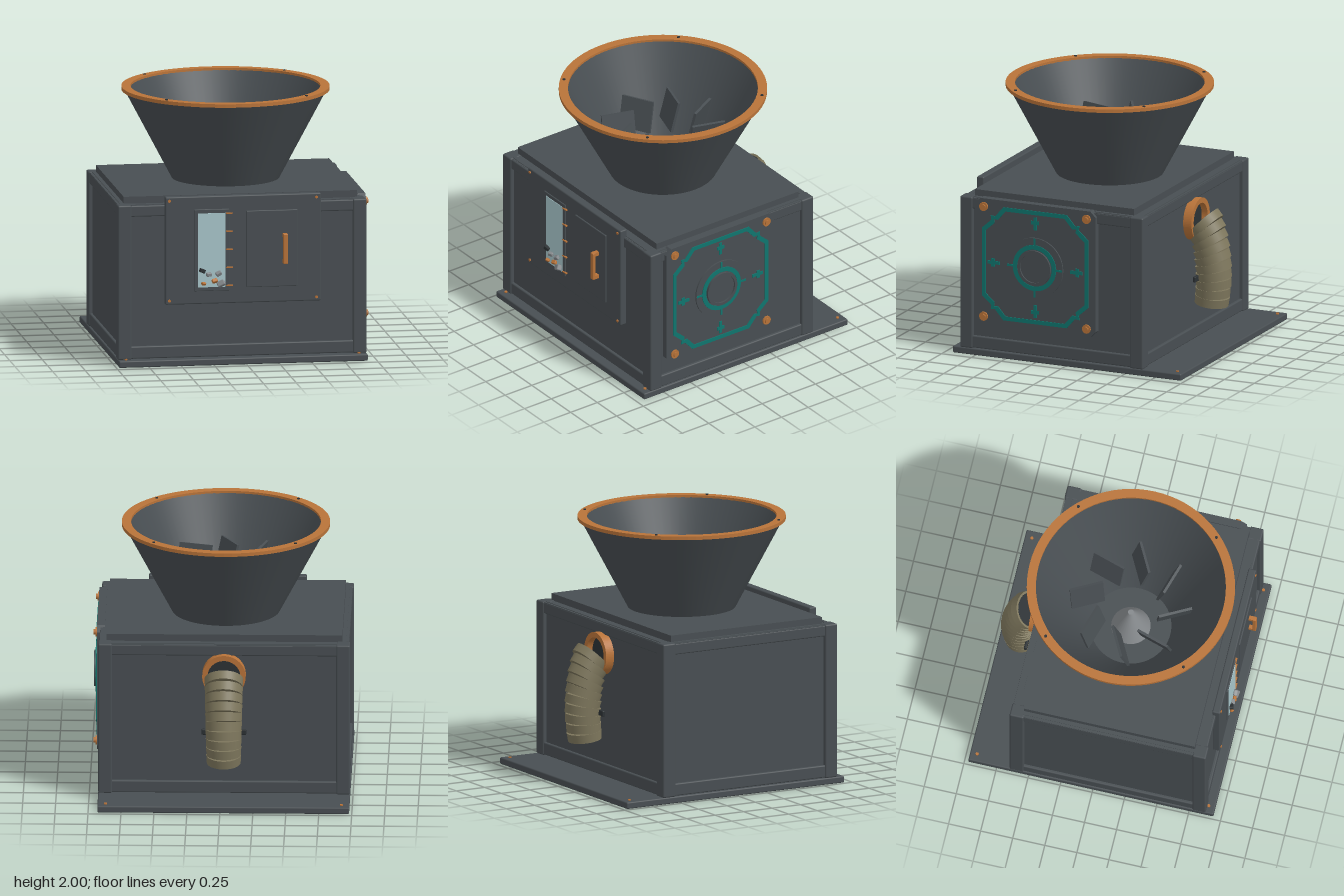
import * as THREE from 'three';
import { RoundedBoxGeometry } from 'three/addons/geometries/RoundedBoxGeometry.js';

const mat = (name, color) => Object.assign(new THREE.MeshStandardMaterial({ color }), { name });
const CX = -0.025; // middle of the cabinet in x
const HZ = 0.07;   // hopper axis in z

export function createModel() {
  const hull = mat('dark steel', 0x484e52);
  const copper = mat('copper', 0xb87339);
  const teal = mat('teal', 0x0f766e);
  const glass = mat('pale glass', 0xa8c6cb);
  const hose = mat('khaki hose', 0x7d765c);
  const steel = mat('light steel', 0x85898c);
  const dark = mat('shadow grey', 0x2c3134);

  const model = new THREE.Group();
  model.name = 'hopperMachine';

  const add = (parent, name, geo, m, x = 0, y = 0, z = 0) => {
    const mesh = new THREE.Mesh(geo, m);
    mesh.name = name;
    mesh.position.set(x, y, z);
    parent.add(mesh);
    return mesh;
  };
  // box given by its limits, with an optional rounded edge
  const block = (name, m, [x0, x1], [y0, y1], [z0, z1], r = 0, parent = model) => {
    const s = [x1 - x0, y1 - y0, z1 - z0];
    const geo = r ? new RoundedBoxGeometry(...s, 2, r) : new THREE.BoxGeometry(...s);
    return add(parent, name, geo, m, (x0 + x1) / 2, (y0 + y1) / 2, (z0 + z1) / 2);
  };
  const extrude = (shape, depth) =>
    new THREE.ExtrudeGeometry(shape, { depth, bevelEnabled: false, curveSegments: 40 });
  const polygon = pts => pts.map(p => new THREE.Vector2(...p));
  // flat ring in the xy plane, extruded along z
  const ring = (outer, inner, depth) => {
    const s = new THREE.Shape().absarc(0, 0, outer, 0, Math.PI * 2);
    s.holes.push(new THREE.Path().absarc(0, 0, inner, 0, Math.PI * 2, true));
    return extrude(s, depth);
  };
  const disc = (r, depth, sides = 48) => new THREE.CylinderGeometry(r, r, depth, sides).rotateX(Math.PI / 2);

  // base plate
  block('basePlate', hull, [-0.98, 0.93], [0, 0.052], [-0.97, 0.94], 0.01);
  for (const x of [-0.92, 0.87]) for (const z of [-0.915, 0.89])
    add(model, 'baseBolt', new THREE.CylinderGeometry(0.013, 0.013, 0.01, 6), copper, x, 0.055, z);

  // cabinet: recessed walls, rails and corner posts
  block('frontWall', hull, [-0.94, 0.89], [0.05, 1.24], [0.82, 0.85]);
  block('backWall', hull, [-0.94, 0.89], [0.05, 1.24], [-0.62, -0.59]);
  block('sideWall', hull, [-0.95, -0.92], [0.05, 1.24], [-0.6, 0.84]);
  block('sideWall', hull, [0.87, 0.9], [0.05, 1.24], [-0.6, 0.84]);
  for (const y of [[0.055, 0.15], [1.15, 1.235]]) {
    block('frontRail', hull, [-0.9, 0.85], y, [0.8, 0.872], 0.01);
    block('backRail', hull, [-0.9, 0.85], y, [-0.642, -0.57], 0.01);
    block('sideRail', hull, [-0.972, -0.89], y, [-0.56, 0.8], 0.01);
    block('sideRail', hull, [0.84, 0.922], y, [-0.56, 0.8], 0.01);
  }
  for (const x of [[-0.98, -0.875], [0.825, 0.93]]) for (const z of [[-0.65, -0.54], [0.775, 0.88]])
    block('cornerPost', hull, x, [0.05, 1.24], z, 0.012);

  // lid with a round opening for the hopper
  const lid = new THREE.Shape(polygon([[-0.895, -0.665], [0.895, -0.665], [0.895, 0.665], [-0.895, 0.665]]));
  lid.holes.push(new THREE.Path().absarc(0, 0.045, 0.395, 0, Math.PI * 2, true));
  add(model, 'lid', extrude(lid, 0.055).rotateX(-Math.PI / 2), hull, CX, 1.235, 0.115);
  for (const z of [[-0.64, -0.54], [0.77, 0.86]])
    block('lidLedge', hull, [-0.96, 0.91], [1.21, 1.236], z);
  for (const x of [[-0.97, -0.9], [0.85, 0.92]])
    block('lidLedge', hull, x, [1.21, 1.236], [-0.55, 0.78]);

  // hopper
  const hopper = new THREE.Group();
  hopper.name = 'hopper';
  hopper.position.set(CX, 0, HZ);
  model.add(hopper);
  const lathe = pts => new THREE.LatheGeometry(polygon(pts), 64);
  add(hopper, 'hopperOuterWall', lathe([[0.325, 1.13], [0.77, 1.972]]), hull);
  add(hopper, 'hopperInnerWall', lathe([[0.722, 1.98], [0.305, 1.13]]), hull);
  add(hopper, 'hopperFloor', new THREE.CylinderGeometry(0.325, 0.325, 0.02, 48), hull, 0, 1.125, 0);
  add(hopper, 'hopperRim', ring(0.79, 0.72, 0.027).rotateX(-Math.PI / 2), copper, 0, 1.967, 0);
  add(hopper, 'spinnerCone', new THREE.CylinderGeometry(0.022, 0.15, 0.3, 32), steel, 0, 1.285, 0);
  for (let i = 0; i < 4; i++) {
    const a = Math.PI / 4 + i * Math.PI / 2;
    add(hopper, 'rimBolt', new THREE.CylinderGeometry(0.012, 0.012, 0.012, 6), dark,
      0.76 * Math.cos(a), 1.994, 0.76 * Math.sin(a));
  }
  // leaning blades around the cone
  for (let i = 0; i < 8; i++) {
    const arm = new THREE.Group();
    arm.name = 'bladeArm';
    arm.rotation.y = i * Math.PI / 4;
    hopper.add(arm);
    const blade = add(arm, 'blade', new THREE.BoxGeometry(0.26, 0.25, 0.02), hull, 0.34, 1.6, 0);
    blade.rotation.set(0.24, 0.49, 0, 'YXZ');
  }

  // front control panel
  const front = new THREE.Group();
  front.name = 'frontPanel';
  model.add(front);
  block('panelPlate', hull, [-0.62, 0.575], [0.47, 1.3], [0.845, 0.905], 0.01, front);
  block('windowFrame', hull, [-0.4, -0.13], [0.57, 1.2], [0.895, 0.913], 0.005, front);
  block('windowGlass', glass, [-0.37, -0.16], [0.6, 1.17], [0.911, 0.917], 0, front);
  block('door', hull, [0, 0.395], [0.59, 1.18], [0.895, 0.915], 0.006, front);
  for (let i = 0; i < 5; i++) {
    const y = 0.61 + i * 0.139;
    block('gaugeMark', copper, [-0.155, -0.105], [y - 0.004, y + 0.004], [0.905, 0.92], 0, front);
  }
  for (const x of [-0.59, 0.54]) for (const y of [0.5, 1.27])
    add(front, 'panelBolt', disc(0.012, 0.01, 6), copper, x, y, 0.907);
  block('handleGrip', copper, [0.277, 0.313], [0.77, 1.0], [0.945, 0.972], 0.006, front);
  for (const y of [0.785, 0.985])
    block('handleFoot', copper, [0.279, 0.311], [y - 0.015, y + 0.015], [0.91, 0.96], 0, front);
  // loose pieces behind the window
  [[-0.34, 0.73, 0.04, dark], [-0.29, 0.7, 0.037, steel], [-0.215, 0.705, 0.04, steel],
    [-0.33, 0.63, 0.03, copper], [-0.245, 0.65, 0.038, copper], [-0.195, 0.628, 0.055, steel]]
    .forEach(([x, y, s, m], i) => {
      const chunk = add(front, 'orePiece', new RoundedBoxGeometry(s * 1.1, s * 0.75, s * 0.8, 1, s * 0.15), m, x, y, 0.928);
      chunk.rotation.set(0.2 * i, 0.3, (i % 3 - 1) * 0.4);
    });

  // side service panel, modelled facing +z and turned to +x
  const side = new THREE.Group();
  side.name = 'sidePanel';
  side.position.set(0.948, 0.755, 0.24);
  side.rotation.y = Math.PI / 2;
  model.add(side);
  const plate = new THREE.Shape(polygon([[-0.46, -0.495], [0.46, -0.495], [0.505, -0.45], [0.505, 0.45],
    [0.46, 0.495], [-0.46, 0.495], [-0.505, 0.45], [-0.505, -0.45]]));
  add(side, 'sidePlate', extrude(plate, 0.06), hull, 0, 0, -0.06);
  // teal border with stepped corners, one corner turned four times
  const border = k => {
    const corner = [[0.445, 0.265], [0.365, 0.335], [0.37, 0.37], [0.335, 0.365], [0.265, 0.445]];
    const pts = [];
    for (let i = 0; i < 4; i++) for (const [x, y] of corner)
      pts.push(new THREE.Vector2(x * k, y * k).rotateAround(new THREE.Vector2(), i * Math.PI / 2));
    return pts;
  };
  const frame = new THREE.Shape(border(1));
  frame.holes.push(new THREE.Path(border(0.93).reverse()));
  add(side, 'tealBorder', extrude(frame, 0.006), teal);
  // round hub
  add(side, 'hubDisc', disc(0.235, 0.012), hull, 0, 0, 0.006);
  add(side, 'hubTealRing', ring(0.18, 0.145, 0.006), teal, 0, 0, 0.012);
  add(side, 'hubInnerRing', ring(0.138, 0.115, 0.02), hull, 0, 0, 0.01);
  add(side, 'hubCentre', disc(0.115, 0.006), hull, 0, 0, 0.014);
  for (let i = 0; i < 4; i++) {
    const mark = new THREE.Group();
    mark.name = 'tealMark';
    mark.rotation.z = i * Math.PI / 2;
    side.add(mark);
    add(mark, 'markStem', new THREE.BoxGeometry(0.026, 0.1, 0.006), teal, 0, 0.345, 0.003);
    add(mark, 'markBar', new THREE.BoxGeometry(0.065, 0.028, 0.006), teal, 0, 0.352, 0.003);
    add(mark, 'markTick', new THREE.BoxGeometry(0.016, 0.05, 0.006), teal, 0, 0.205, 0.014);
    const bx = i % 2 ? 0.43 : -0.43, by = i < 2 ? 0.432 : -0.432;
    add(side, 'sideBoltWasher', disc(0.035, 0.012, 16), copper, bx, by, 0.006);
    add(side, 'sideBoltHead', disc(0.022, 0.014, 6), copper, bx, by, 0.018);
  }

  // rear outlet collar
  add(model, 'outletCollar', ring(0.165, 0.125, 0.075), copper, CX, 1.0, -0.69);
  add(model, 'outletMouth', disc(0.126, 0.02), dark, CX, 1.0, -0.63);
  // ribbed hose: tilted drums that straighten as they drop
  const path = new THREE.CatmullRomCurve3([[0.965, -0.735], [0.85, -0.77], [0.68, -0.797], [0.53, -0.8], [0.38, -0.785]]
    .map(([y, z]) => new THREE.Vector3(CX, y, z)));
  for (let i = 0; i < 10; i++) {
    const t = i / 9;
    const drum = new THREE.Group();
    drum.name = 'hoseSegment';
    drum.position.copy(path.getPointAt(t));
    drum.rotation.x = THREE.MathUtils.degToRad(45 - 52 * t);
    model.add(drum);
    const r = 0.147 - 0.014 * t;
    add(drum, 'hoseRib', new THREE.CylinderGeometry(r, r - 0.004, 0.067, 32), hose);
    if (i === 0) add(drum, 'hoseMouth', new THREE.CylinderGeometry(0.13, 0.13, 0.004, 32), dark, 0, 0.034, 0);
  }
  block('hosePin', dark, [CX - 0.17, CX + 0.17], [0.545, 0.59], [-0.725, -0.702], 0.008);

  return model;
}
